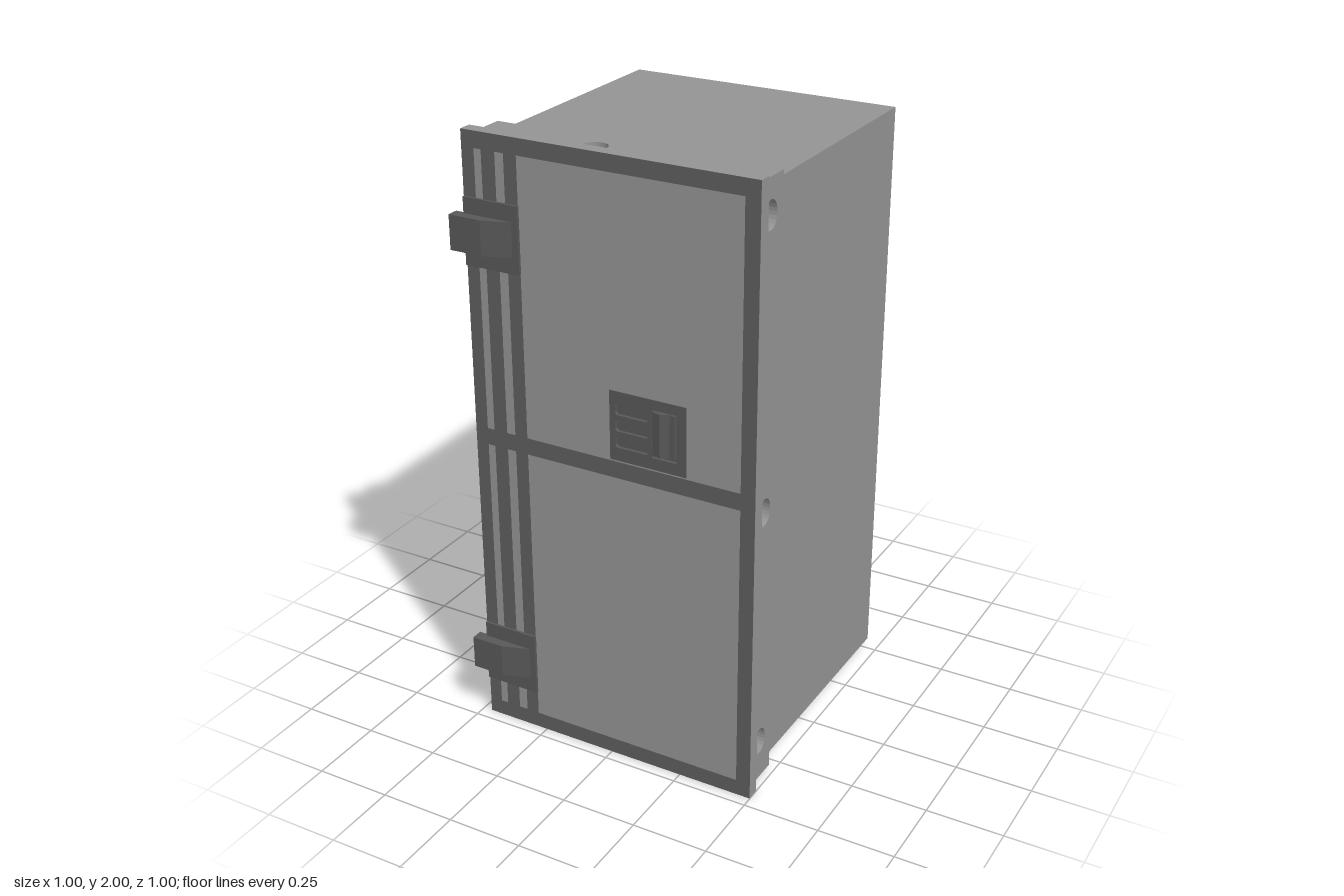
import * as THREE from 'three';

const light = new THREE.MeshStandardMaterial({ color: 0x949494 });
const dark = new THREE.MeshStandardMaterial({ color: 0x5e5e5e });
const fitting = new THREE.MeshStandardMaterial({ color: 0x585858 });

function add(parent, name, geometry, material = light) {
  const mesh = new THREE.Mesh(geometry, material);
  mesh.name = name;
  parent.add(mesh);
  return mesh;
}

// Box given by its limits on each axis
function box(x0, x1, y0, y1, z0, z1) {
  return new THREE.BoxGeometry(x1 - x0, y1 - y0, z1 - z0)
    .translate((x0 + x1) / 2, (y0 + y1) / 2, (z0 + z1) / 2);
}

function rectPoints(x0, x1, y0, y1) {
  return [[x0, y0], [x1, y0], [x1, y1], [x0, y1]].map(([x, y]) => new THREE.Vector2(x, y));
}

// Rectangle with hole paths cut out
function rectShape(limits, holes = []) {
  const shape = new THREE.Shape(rectPoints(...limits));
  shape.holes.push(...holes);
  return shape;
}

function rectHole(...limits) {
  return new THREE.Path(rectPoints(...limits).reverse());
}

function extrude(shape, depth) {
  return new THREE.ExtrudeGeometry(shape, { depth, bevelEnabled: false, curveSegments: 12 });
}

// Flat bar with oval holes, extruded along z
function drilledBar(limits, depth, centres, ru, rv) {
  const holes = centres.map(([u, v]) => new THREE.Path().absellipse(u, v, ru, rv, 0, Math.PI * 2, true));
  return extrude(rectShape(limits, holes), depth);
}

// Outline in x and z, extruded upwards from y0 to y1
function upright(outline, y0, y1) {
  const shape = new THREE.Shape(outline.map(([x, z]) => new THREE.Vector2(x, -z)));
  return extrude(shape, y1 - y0).rotateX(-Math.PI / 2).translate(0, y0, 0);
}

// Hollow collar behind the door, with mounting holes
function createCollar() {
  const collar = new THREE.Group();
  collar.name = 'mountingCollar';
  const X0 = -0.452, X1 = 0.485, Y0 = 0.017, Y1 = 1.983, Z0 = 0.297, Z1 = 0.418;
  const wall = 0.03, topCap = 0.088, bottomCap = 0.108;
  const side = (ys) => drilledBar([-Z1, -Z0, Y0, Y1], wall, ys.map(y => [-0.369, y]), 0.037, 0.045)
    .rotateY(Math.PI / 2);
  add(collar, 'leftCollarWall', side([0.153, 0.96, 1.873]).translate(X1 - wall, 0, 0));
  add(collar, 'rightCollarWall', side([0.372, 0.957, 1.54]).translate(X0, 0, 0));
  const level = (x, cap) => drilledBar([X0 + wall, X1 - wall, -Z1, -Z0], cap, [[x, -0.367]], 0.038, 0.036)
    .rotateX(-Math.PI / 2);
  add(collar, 'topCollarWall', level(-0.071, topCap).translate(0, Y1 - topCap, 0));
  add(collar, 'bottomCollarWall', level(0.12, bottomCap).translate(0, Y0, 0));

  // Narrow chamfer where the collar meets the body
  const chamfer = box(X0, X1, Y0, Y1, 0.285, Z0);
  const p = chamfer.attributes.position;
  for (let i = 0; i < p.count; i++) {
    if (p.getZ(i) < 0.29) {
      p.setX(i, p.getX(i) - Math.sign(p.getX(i)) * 0.01);
      p.setY(i, p.getY(i) - Math.sign(p.getY(i) - 1) * 0.012);
    }
  }
  chamfer.computeVertexNormals();
  add(collar, 'collarChamfer', chamfer);
  return collar;
}

function createHinge(y) {
  const hinge = new THREE.Group();
  hinge.name = 'hinge';
  add(hinge, 'hingePlate', box(-0.467, -0.278, -0.106, 0.106, 0.455, 0.469), fitting);
  add(hinge, 'hingeKnuckle', upright(
    [[-0.498, 0.462], [-0.3, 0.462], [-0.3, 0.47], [-0.388, 0.5], [-0.498, 0.5]], -0.055, 0.055), fitting);
  hinge.position.y = y;
  return hinge;
}

// Finger slot with rounded corners
function slotHole(x0, x1, y0, y1, r) {
  const slot = new THREE.Path();
  slot.absarc(x0 + r, y0 + r, r, Math.PI, Math.PI * 1.5);
  slot.absarc(x1 - r, y0 + r, r, Math.PI * 1.5, Math.PI * 2);
  slot.absarc(x1 - r, y1 - r, r, 0, Math.PI / 2);
  slot.absarc(x0 + r, y1 - r, r, Math.PI / 2, Math.PI);
  return slot;
}

// Latch plate let into the door, with three slots and a handle well
const LATCH = [0.017, 0.275, 1.062, 1.287];

function createLatch() {
  const latch = new THREE.Group();
  latch.name = 'latch';
  const holes = [1.105, 1.158, 1.211].map(y => slotHole(0.036, 0.15, y, y + 0.042, 0.01));
  holes.push(rectHole(0.16, 0.243, 1.1, 1.255));
  add(latch, 'latchPlate', extrude(rectShape(LATCH, holes), 0.012).translate(0, 0, 0.45), fitting);
  add(latch, 'latchFloor', box(...LATCH, 0.44, 0.451), fitting);
  add(latch, 'latchHandle', upright(
    [[0.163, 0.45], [0.213, 0.45], [0.213, 0.461], [0.192, 0.471], [0.163, 0.464]], 1.11, 1.25), fitting);
  add(latch, 'latchCatch', box(0.219, 0.236, 1.11, 1.25, 0.45, 0.461), fitting);
  return latch;
}

export function createModel() {
  const model = new THREE.Group();
  model.name = 'cabinet';

  add(model, 'body', box(-0.441, 0.47, 0.043, 1.957, -0.498, 0.29));
  model.add(createCollar());
  const doorSize = [-0.468, 0.501, 0, 2];
  add(model, 'door', extrude(rectShape(doorSize, [rectHole(...LATCH)]), 0.043).translate(0, 0, 0.417));

  // Dark border, strips and cross rail around flush light panels
  const panels = [];
  for (const [x0, x1] of [[-0.425, -0.4], [-0.353, -0.323], [-0.279, 0.453]]) {
    for (const [y0, y1] of [[0.053, 1.002], [1.057, 1.948]]) {
      panels.push(rectHole(x0, x1, y0, y1));
    }
  }
  add(model, 'doorTrim', new THREE.ShapeGeometry(rectShape(doorSize, panels)).translate(0, 0, 0.461), dark);

  model.add(createHinge(1.693), createHinge(0.243), createLatch());

  // The whole cabinet sits very slightly turned
  model.rotation.y = -0.004;
  return model;
}
